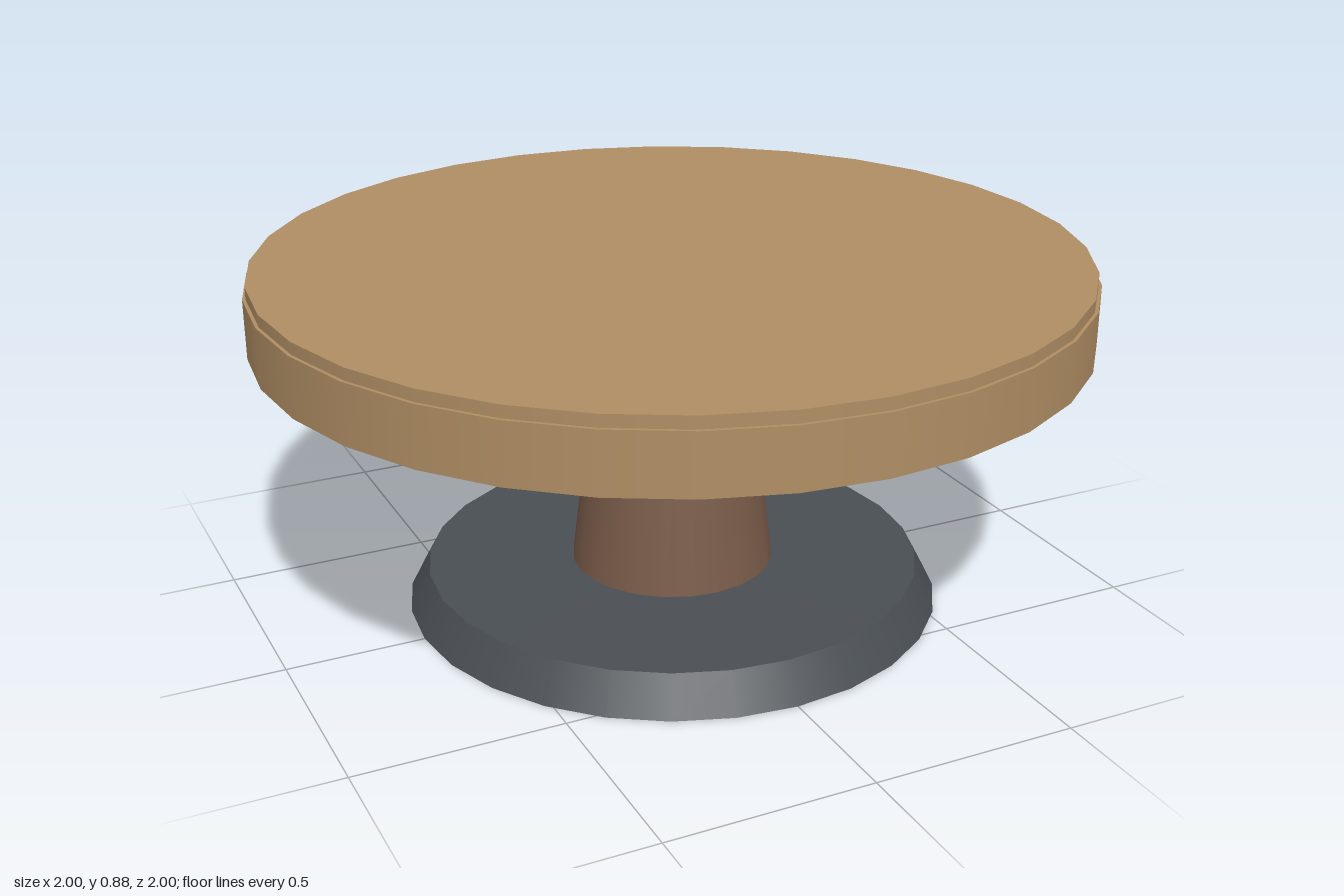
import * as THREE from 'three';

const material = (name, color) => {
  const m = new THREE.MeshStandardMaterial({ color });
  m.name = name;
  return m;
};

export function createModel() {
  const wood = material('light wood', 0xb08e64);
  const darkWood = material('dark wood', 0x7a5c4a);
  const metal = material('dark grey metal', 0x4a4f54);

  const group = new THREE.Group();
  group.name = 'pedestalTable';

  // Round part standing between two heights
  const addDisc = (name, topRadius, bottomRadius, y0, y1, sides, mat) => {
    const geometry = new THREE.CylinderGeometry(topRadius, bottomRadius, y1 - y0, sides);
    const mesh = new THREE.Mesh(geometry, mat);
    mesh.name = name;
    mesh.position.y = (y0 + y1) / 2;
    group.add(mesh);
  };

  // Flared foot, tapered column, then the top with a slightly inset upper layer
  addDisc('base', 0.61, 0.66, 0, 0.094, 28, metal);
  addDisc('column', 0.176, 0.25, 0.094, 0.705, 24, darkWood);
  addDisc('tableTop', 1, 1, 0.705, 0.848, 32, wood);
  addDisc('topLayer', 0.992, 0.992, 0.848, 0.877, 32, wood);

  return group;
}
